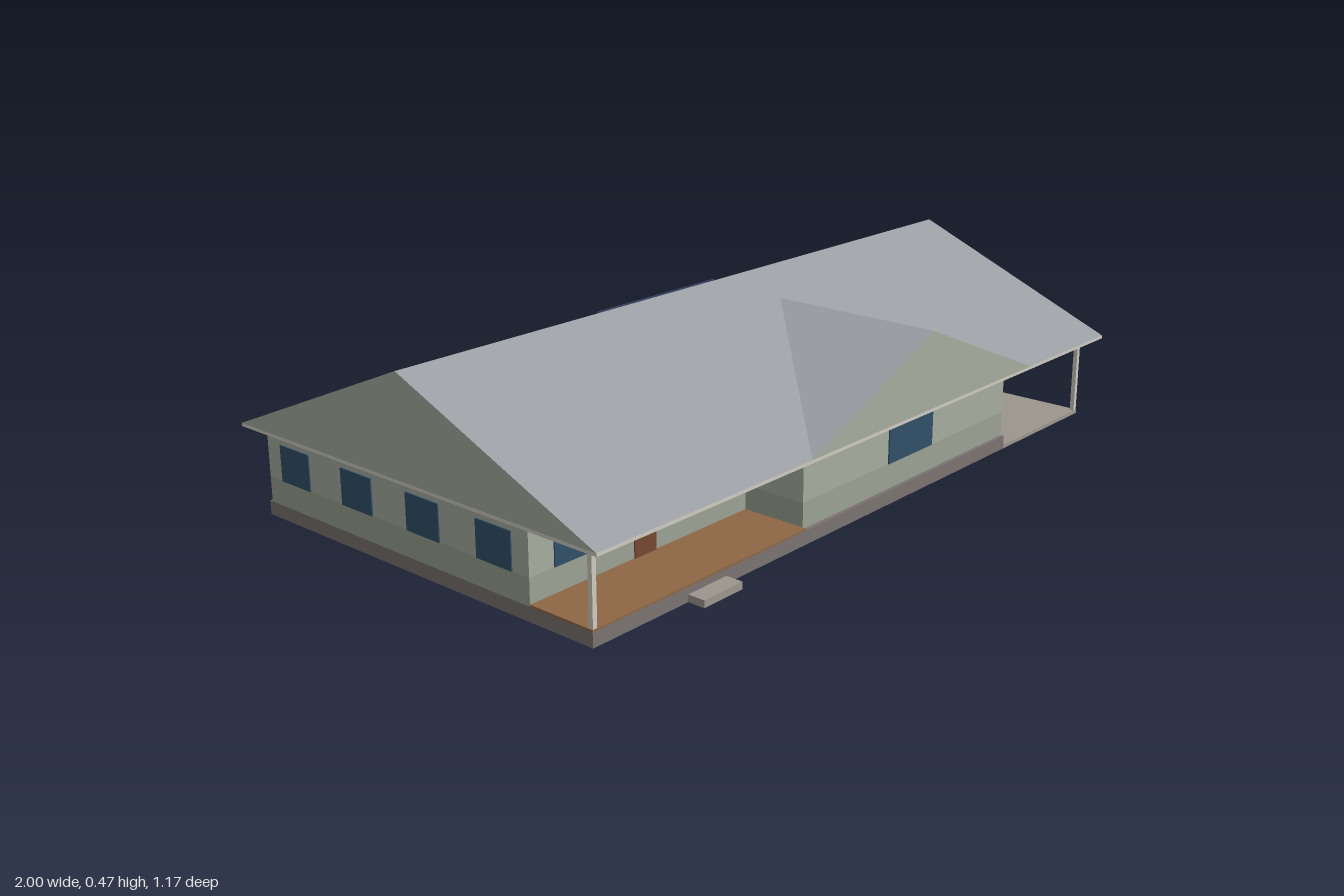
import * as THREE from 'three';

const mat = (color) => new THREE.MeshStandardMaterial({ color, flatShading: true });
const M = {
  roof: mat(0x9a9ea3), wall: mat(0xa6ae9f), band: mat(0x9ba394), base: mat(0x7a7370),
  slab: mat(0x9d978e), deck: mat(0x8f6845), trim: mat(0xd0ccc2), glass: mat(0x31506a),
  door: mat(0x754830), solar: mat(0x273656), car: mat(0xd0cfc9), cab: mat(0x9c9c98),
};

const EAVE = 0.228, RIDGE = 0.475, HALF = 0.585;   // main roof section
const LEFT = -0.97, RIGHT = 0.575, WING = -0.28;   // house walls in x
const BACK = -0.53, PORCH = 0.36, FRONT = 0.53;    // house walls in z
const FLOOR = 0.035, TOP = 0.222;

export function createModel() {
  const house = new THREE.Group();
  house.name = 'house';

  const add = (name, geometry, material) => {
    const m = new THREE.Mesh(geometry, material);
    m.name = name;
    house.add(m);
    return m;
  };
  // Box given by its limits on each axis
  const box = (name, material, x0, x1, y0, y1, z0, z1) => {
    const m = add(name, new THREE.BoxGeometry(x1 - x0, y1 - y0, z1 - z0), material);
    m.position.set((x0 + x1) / 2, (y0 + y1) / 2, (z0 + z1) / 2);
    return m;
  };
  // Triangular roof prism: gable ends in wall colour, slopes in roof colour
  const gableRoof = (name, half, rise, length) => {
    const s = new THREE.Shape();
    s.moveTo(-half, 0);
    s.lineTo(half, 0);
    s.lineTo(0, rise);
    s.closePath();
    return add(name, new THREE.ExtrudeGeometry(s, { depth: length, bevelEnabled: false }), [M.wall, M.roof]);
  };

  // Ground slab, plinth and porch floor
  box('carportSlab', M.slab, RIGHT, 0.965, 0, 0.01, -0.54, 0.54);
  box('plinth', M.base, LEFT, RIGHT, 0, FLOOR, -0.54, 0.54);
  box('porchDeck', M.deck, LEFT, WING, FLOOR, 0.04, PORCH, 0.54);

  // Walls: darker lower band below, lighter wall above
  const walls = [['mainBlock', LEFT, BACK, PORCH], ['frontWing', WING, PORCH, FRONT]];
  for (const [name, x0, z0, z1] of walls) {
    box(name + 'LowerWall', M.band, x0, RIGHT, FLOOR, 0.1, z0, z1);
    box(name + 'UpperWall', M.wall, x0, RIGHT, 0.1, TOP, z0, z1);
  }

  // Windows and doors as thin panels on the wall faces
  const T = 0.003, W = 0.054;
  const onZ = (name, m, x, w, y0, y1, z) => box(name, m, x - w, x + w, y0, y1, z - T, z + T);
  const onX = (name, m, z, w, y0, y1, x) => box(name, m, x - T, x + T, y0, y1, z - w, z + w);
  for (const x of [-0.845, -0.41]) onZ('porchWindow', M.glass, x, W, 0.1, 0.19, PORCH);
  onZ('wingWindow', M.glass, 0.147, 0.093, 0.1, 0.195, FRONT);
  onZ('frontDoor', M.door, -0.625, 0.034, 0.04, 0.183, PORCH);
  for (let i = 0; i < 7; i++) onZ('backWindow', M.glass, -0.86 + i * 0.221, W, 0.1, 0.19, BACK);
  for (let i = 0; i < 4; i++) {
    const z = -0.425 + i * 0.227;
    onX('leftWindow', M.glass, z, W, 0.1, 0.19, LEFT);
    if (i !== 1) onX('rightWindow', M.glass, z, W, 0.1, 0.19, RIGHT);
  }
  onX('sideDoor', M.door, -0.268, 0.033, FLOOR, 0.182, RIGHT);

  // Steps
  box('frontStep', M.slab, -0.685, -0.56, 0, 0.018, 0.54, 0.585);
  box('sideStep', M.slab, RIGHT, 0.615, 0.01, 0.019, -0.312, -0.224);

  // Posts carrying the roof
  for (const [x, z, y] of [[0.957, 0.533, 0.01], [0.957, -0.533, 0.01], [-0.962, 0.533, 0.04]]) {
    box('post', M.trim, x - 0.006, x + 0.006, y, TOP, z - 0.006, z + 0.006);
  }

  // Roof: ceiling with fascia edge, main gable and front cross gable
  box('ceiling', M.trim, -1, 1, 0.22, EAVE, -HALF, HALF);
  const main = gableRoof('mainRoof', HALF, RIDGE - EAVE, 2);
  main.rotation.y = Math.PI / 2;
  main.position.set(-1, EAVE, 0);
  const cross = gableRoof('crossGable', 0.467, 0.197, HALF - 0.115);
  cross.position.set(0.147, EAVE, 0.115);

  // Solar panel lying just above the rear slope
  const panel = add('solarPanel', new THREE.BoxGeometry(0.447, 0.005, 0.243), M.solar);
  panel.rotation.x = -Math.atan2(RIDGE - EAVE, HALF);
  panel.position.set(0, 0.364, -0.283);

  // Parked car
  box('carBody', M.car, 0.7, 0.825, 0.028, 0.08, -0.145, 0.163);
  box('carCabin', M.cab, 0.71, 0.815, 0.08, 0.115, -0.06, 0.062);

  return house;
}
